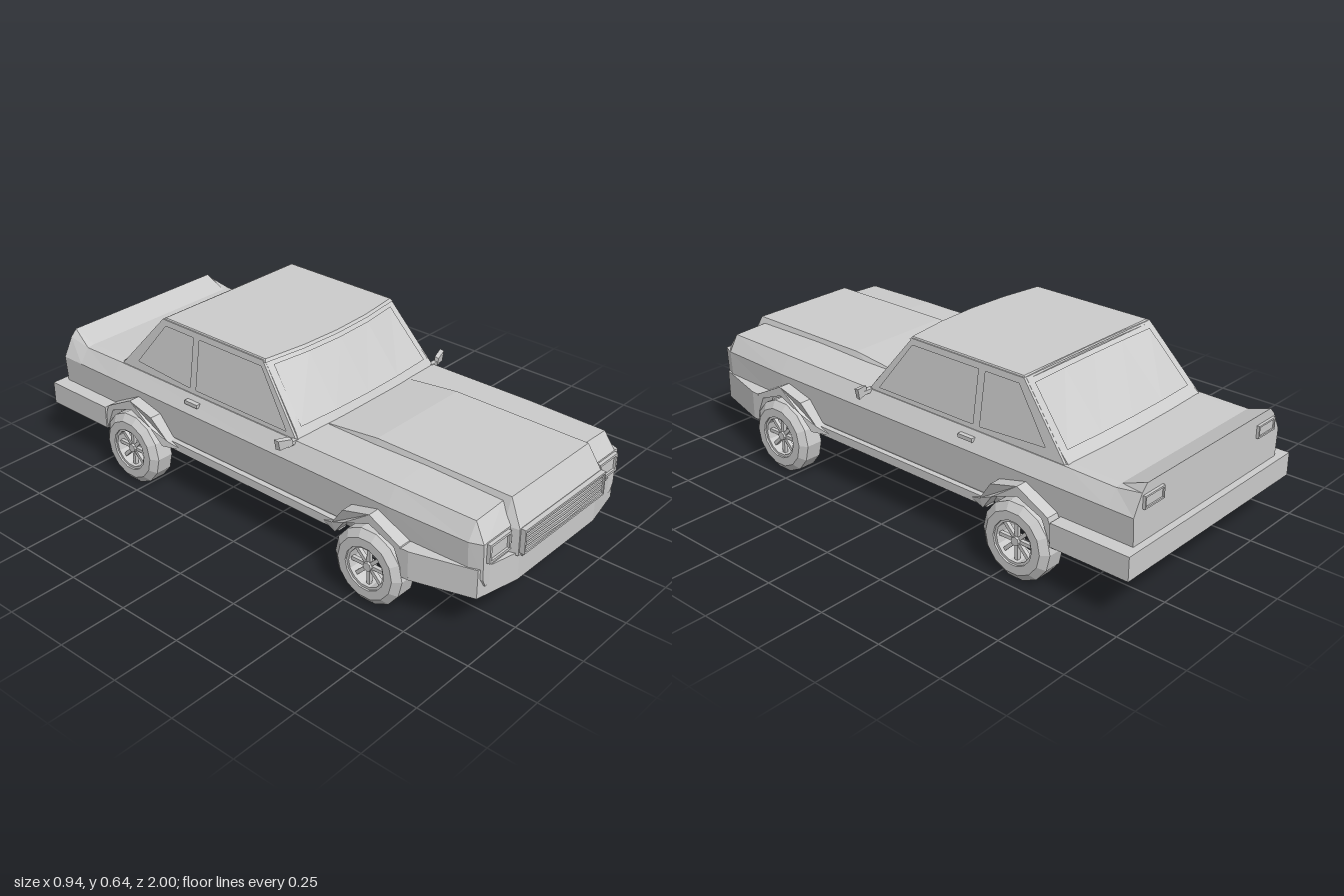
import * as THREE from 'three';

const grey = new THREE.MeshStandardMaterial({ color: 0xcccccc, flatShading: true });

// Closed loft through rings of [x, y, z]; rings run anticlockwise seen from the first end.
function loft(rings) {
  const out = [], n = rings[0].length, last = rings[rings.length - 1];
  for (let k = 0; k < rings.length - 1; k++) {
    const a = rings[k], b = rings[k + 1];
    for (let i = 0; i < n; i++) {
      const j = (i + 1) % n;
      out.push(...a[i], ...b[i], ...a[j], ...a[j], ...b[i], ...b[j]);
    }
  }
  for (let i = 1; i < n - 1; i++) {
    out.push(...rings[0][0], ...rings[0][i], ...rings[0][i + 1]);
    out.push(...last[0], ...last[i + 1], ...last[i]);
  }
  const g = new THREE.BufferGeometry();
  g.setAttribute('position', new THREE.Float32BufferAttribute(out, 3));
  g.computeVertexNormals();
  return g;
}

// Full ring at depth z from the points of its +x half, listed from bottom to top.
const section = (z, half) => [
  ...half.map(([x, y]) => [x, y, z]),
  ...half.slice().reverse().map(([x, y]) => [-x, y, z]),
];

// Moves every vertex by a rule on its position.
function warp(geo, rule) {
  const p = geo.attributes.position, v = new THREE.Vector3();
  for (let i = 0; i < p.count; i++) {
    rule(v.fromBufferAttribute(p, i));
    p.setXYZ(i, v.x, v.y, v.z);
  }
  geo.computeVertexNormals();
  return geo;
}

// Mirrored copy with its winding turned the right way out.
function mirror(geo, axis) {
  const g = geo.index ? geo.toNonIndexed() : geo.clone();
  g.scale(axis === 'x' ? -1 : 1, 1, axis === 'z' ? -1 : 1);
  const p = g.attributes.position, a = new THREE.Vector3(), b = new THREE.Vector3();
  for (let i = 0; i < p.count; i += 3) {
    a.fromBufferAttribute(p, i + 1);
    b.fromBufferAttribute(p, i + 2);
    p.setXYZ(i + 1, b.x, b.y, b.z);
    p.setXYZ(i + 2, a.x, a.y, a.z);
  }
  g.computeVertexNormals();
  return g;
}

// Extrudes a [z, y] outline towards +x.
function sideExtrude(points, depth, holes = []) {
  const path = (pts) => pts.map(([z, y]) => new THREE.Vector2(-z, y));
  const shape = new THREE.Shape(path(points));
  holes.forEach((h) => shape.holes.push(new THREE.Path(path(h))));
  return new THREE.ExtrudeGeometry(shape, { depth, bevelEnabled: false }).rotateY(Math.PI / 2);
}

const box = (w, h, d, x, y, z) => new THREE.BoxGeometry(w, h, d).translate(x, y, z);

// Rectangular frame in the xy plane.
function frame(x0, x1, y0, y1, t, depth, z) {
  const rect = (C, m) => new C([[x0 + m, y0 + m], [x1 - m, y0 + m], [x1 - m, y1 - m], [x0 + m, y1 - m]]
    .map(([x, y]) => new THREE.Vector2(x, y)));
  const s = rect(THREE.Shape, 0);
  s.holes.push(rect(THREE.Path, t));
  return new THREE.ExtrudeGeometry(s, { depth, bevelEnabled: false }).translate(0, 0, z);
}

export function createModel() {
  const car = new THREE.Group();
  car.name = 'car';
  const add = (name, geo, parent = car) => {
    const m = new THREE.Mesh(geo, grey);
    m.name = name;
    parent.add(m);
  };
  const both = (name, geo) => {
    add(name + 'Left', geo);
    add(name + 'Right', mirror(geo, 'x'));
  };

  // Lower body from nose to tail, with a raised lip at the back of the boot
  const side = [[0.385, 0.2], [0.4, 0.23], [0.408, 0.36]];
  add('body', loft([
    section(0.95, [[0.36, 0.2], [0.375, 0.23], [0.38, 0.36], [0.36, 0.362], [0.23, 0.362]]),
    section(0.905, [[0.375, 0.2], [0.392, 0.23], [0.398, 0.36], [0.362, 0.42], [0.23, 0.425]]),
    section(0.6, [...side, [0.368, 0.422], [0.23, 0.43]]),
    section(0.2, [...side, [0.37, 0.42], [0.23, 0.422]]),
    section(-0.7, [...side, [0.37, 0.418], [0.34, 0.42]]),
    section(-0.88, [...side, [0.37, 0.415], [0.34, 0.418]]),
    section(-0.975, [...side, [0.37, 0.43], [0.345, 0.455]]),
  ]));

  // Raised bonnet centre ending above the grille
  const bonnet = (y) => [[0.25, 0.26], [0.25, 0.36], [0.216, y]];
  add('bonnet', loft([
    section(0.98, [[0.235, 0.26], [0.235, 0.355], [0.225, 0.36]]),
    section(0.93, bonnet(0.445)),
    section(0.4, bonnet(0.447)),
    section(0.19, bonnet(0.424)),
  ]));

  // Cabin with bowed front and rear glass
  const us = [1, 0.5, 0, -0.5, -1];
  const level = (y, x, zf, bowF, zb, bowB) => [
    ...us.map((u) => [u * x, y, zb - bowB * (1 - u * u)]),
    ...us.slice().reverse().map((u) => [u * x, y, zf + bowF * (1 - u * u)]),
  ];
  add('cabin', loft([
    level(0.642, 0.324, 0, 0.03, -0.488, -0.008),
    level(0.45, 0.353, 0.158, 0.015, -0.655, 0.01),
    level(0.41, 0.359, 0.185, 0.012, -0.7, 0.01),
  ]));
  add('roof', loft([
    level(0.646, 0.325, 0.005, 0.03, -0.48, -0.008),
    level(0.636, 0.333, 0.012, 0.03, -0.493, -0.008),
  ]));

  // Window surrounds follow the lean of the cabin sides
  both('windowFrame', warp(sideExtrude(
    [[0.18, 0.415], [0, 0.642], [-0.487, 0.642], [-0.65, 0.455], [-0.685, 0.415]], 0.01, [
      [[0.13, 0.435], [-0.005, 0.62], [-0.3, 0.62], [-0.3, 0.435]],
      [[-0.33, 0.435], [-0.33, 0.62], [-0.47, 0.62], [-0.6, 0.45]],
    ]), (v) => { v.x += 0.358 - (v.y - 0.41) * 0.149; }));

  // Glass panels laid just over the cabin's front and rear slopes
  const glass = (zTop, bowTop, zLow, bowLow, dir) => warp(new THREE.PlaneGeometry(2, 1, 4, 1), (v) => {
    const t = v.y + 0.5, u = v.x * 0.94;
    const bow = (bowLow + (bowTop - bowLow) * t) * (1 - u * u);
    v.set(dir * u * (0.35 - 0.025 * t), 0.45 + 0.175 * t, zLow + (zTop - zLow) * t + bow + dir * 0.006);
  });
  add('windscreen', glass(0.014, 0.03, 0.158, 0.015, 1));
  add('rearWindow', glass(-0.503, 0.006, -0.655, -0.01, -1));

  // Bumpers
  const plan = [[0.45, 0.69], [0.45, 0.72], [0.388, 0.94], [0.22, 0.975]];
  const bumper = (y) => [
    ...plan.slice().reverse().map(([x, z]) => [x, y, z]),
    ...plan.map(([x, z]) => [-x, y, z]),
  ];
  add('frontBumper', loft([bumper(0.268), bumper(0.162)]));
  add('rearBumper', box(0.91, 0.085, 0.3, 0, 0.2175, -0.85));
  add('numberPlateLedge', box(0.42, 0.006, 0.012, 0, 0.25, 0.974));

  // Grille with shallow V-shaped bars
  add('grilleFrame', frame(-0.23, 0.23, 0.27, 0.358, 0.007, 0.022, 0.976));
  for (let i = 0; i < 5; i++) {
    const bar = new THREE.BoxGeometry(0.44, 0.009, 0.016, 2, 1, 1);
    add('grilleBar' + i, warp(bar, (v) => {
      v.y += 0.284 + i * 0.0155 - (0.01 - i * 0.002) * (1 - Math.abs(v.x) / 0.22);
      v.z += 0.986;
    }));
  }

  // Lamps
  both('headlampFrame', frame(0.253, 0.363, 0.288, 0.356, 0.009, 0.018, 0.945));
  both('headlamp', box(0.09, 0.05, 0.012, 0.308, 0.322, 0.949));
  both('tailLampFrame', frame(0.265, 0.365, 0.375, 0.42, 0.006, 0.012, -0.985));
  both('tailLamp', box(0.088, 0.033, 0.012, 0.315, 0.3975, -0.974));

  // Sills, door handles and mirrors
  both('sill', box(0.035, 0.032, 0.82, 0.4, 0.207, 0));
  both('doorHandle', box(0.02, 0.014, 0.062, 0.388, 0.395, -0.295));
  both('mirrorStalk', box(0.045, 0.014, 0.018, 0.382, 0.416, 0.172));
  both('mirror', loft([
    [[0.388, 0.414, 0.185], [0.436, 0.407, 0.17], [0.444, 0.444, 0.17], [0.392, 0.436, 0.185]],
    [[0.388, 0.41, 0.168], [0.438, 0.406, 0.152], [0.445, 0.446, 0.152], [0.392, 0.44, 0.168]],
  ]));

  // Wheel arch flares, fading into the doors
  const wheelZ = 0.562;
  const arch = warp(sideExtrude([
    [0.16, 0.17], [0.125, 0.27], [0, 0.335], [-0.11, 0.305], [-0.17, 0.225], [-0.23, 0.2],
    [-0.15, 0.2], [-0.105, 0.26], [0, 0.3], [0.1, 0.26], [0.14, 0.17],
  ], 1), (v) => {
    const fade = THREE.MathUtils.clamp((-v.z - 0.12) / 0.11, 0, 1);
    v.x = 0.38 + v.x * (0.07 - 0.037 * fade);
  }).translate(0, 0, wheelZ);
  both('frontArch', arch);
  both('rearArch', mirror(arch, 'z'));

  // Wheels: chamfered tyre, rim, hub and open spokes
  const ring = (pts) => new THREE.LatheGeometry(pts.map(([r, y]) => new THREE.Vector2(r, y)), 14)
    .rotateZ(-Math.PI / 2);
  const tyre = ring([[0.08, -0.052], [0.112, -0.052], [0.138, -0.032], [0.138, 0.032],
    [0.112, 0.052], [0.08, 0.052], [0.08, -0.052]]);
  const rim = ring([[0.071, -0.045], [0.083, -0.045], [0.083, 0.045], [0.071, 0.045], [0.071, -0.045]]);
  const hub = new THREE.CylinderGeometry(0.016, 0.02, 0.03, 8).rotateZ(-Math.PI / 2).translate(0.025, 0, 0);
  for (const s of [1, -1]) {
    for (const [end, z] of [['front', wheelZ], ['rear', -wheelZ]]) {
      const wheel = new THREE.Group();
      wheel.name = end + 'Wheel' + (s > 0 ? 'Left' : 'Right');
      wheel.position.set(s * 0.418, 0.14, z);
      add('tyre', tyre, wheel);
      add('rim', rim, wheel);
      add('hub', s > 0 ? hub : mirror(hub, 'x'), wheel);
      for (let i = 0; i < 8; i++) {
        add('spoke', box(0.014, 0.06, 0.013, s * 0.025, 0.044, 0).rotateX(i * Math.PI / 4), wheel);
      }
      car.add(wheel);
    }
  }
  return car;
}
